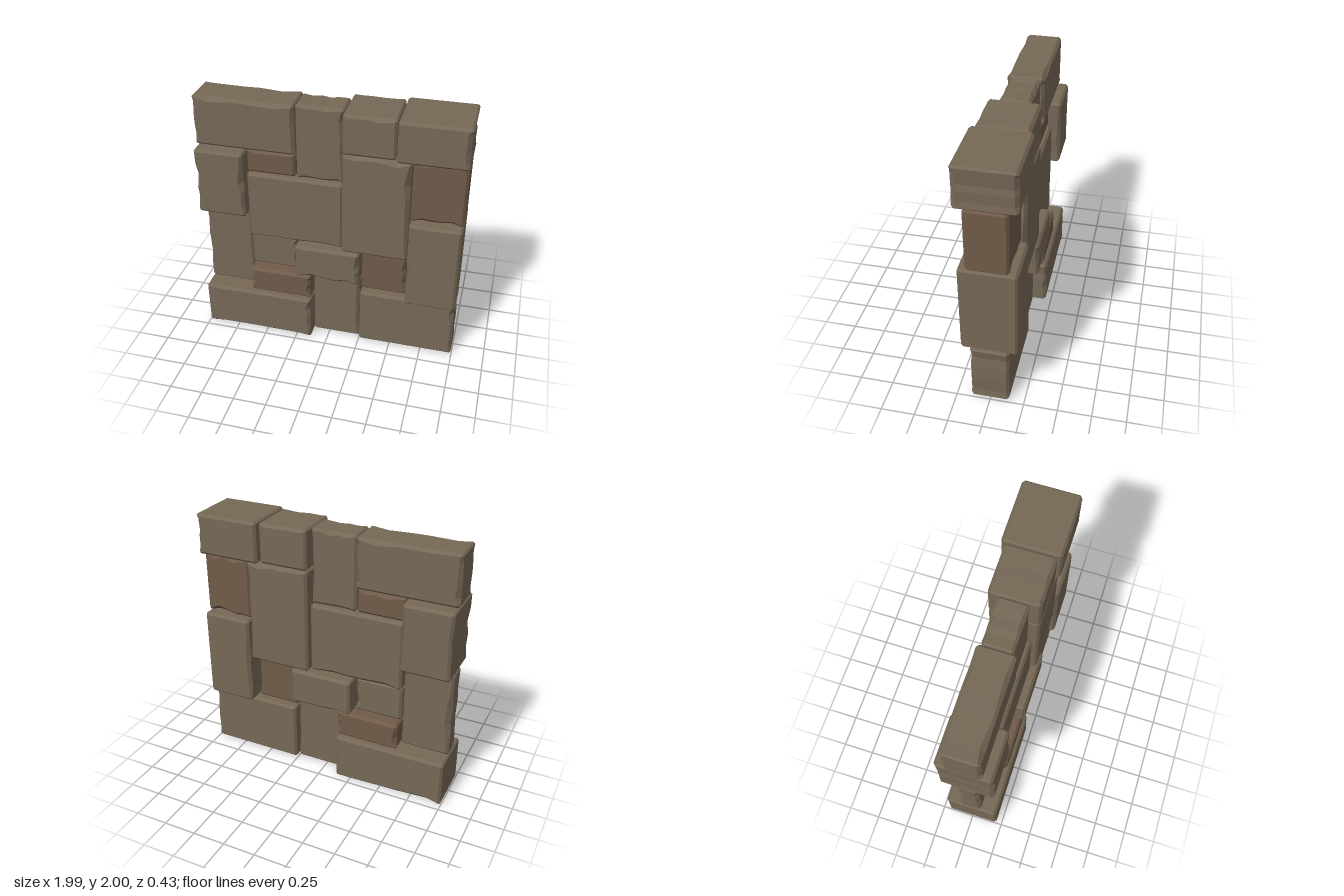
import * as THREE from 'three';

// x0, x1, y0, y1, half depth, chipped sides (Bottom Right Top Left), reddish
const STONES = [
  [-0.995, -0.245, 1.61, 1.995, 0.135, 'TRL'],
  [-0.24, 0.11, 1.42, 1.995, 0.11, 'TRB'],
  [0.115, 0.49, 1.69, 1.995, 0.185, 'T'],
  [0.5, 0.995, 1.69, 2, 0.215, 'R'],
  [-0.99, -0.62, 1.075, 1.6, 0.205, 'RL'],
  [-0.615, -0.25, 1.42, 1.605, 0.11, 'T', true],
  [-0.615, 0.11, 0.875, 1.42, 0.14, 'B'],
  [0.115, 0.605, 0.875, 1.685, 0.185, 'TR'],
  [0.61, 0.99, 1.205, 1.685, 0.15, 'TB', true],
  [0.61, 0.99, 0.49, 1.2, 0.205, 'L'],
  [-0.99, -0.62, 0.38, 1.07, 0.08, 'L'],
  [-0.615, -0.245, 0.595, 0.875, 0.1, 'R'],
  [-0.24, 0.25, 0.595, 0.875, 0.205, 'BR'],
  [-0.615, -0.13, 0.38, 0.59, 0.18, 'RL', true],
  [0.255, 0.605, 0.49, 0.87, 0.09, 'R', true],
  [-0.125, 0.25, 0.005, 0.59, 0.1, 'TR'],
  [0.255, 0.995, 0.01, 0.485, 0.14, 'R'],
  [-0.995, -0.13, 0, 0.37, 0.205, 'BR'],
];

const BEVEL = 0.018;

function seeded(seed) {
  let s = seed * 7919 + 17;
  return () => (s = (s * 16807) % 2147483647) / 2147483647;
}

// Block with bevelled edges; chipped sides get a deeper, wandering bevel
function stoneGeometry([x0, x1, y0, y1, d, chips], rand) {
  const corners = [[x0, y0], [x1, y0], [x1, y1], [x0, y1]];
  const outline = [];
  corners.forEach(([ax, ay], side) => {
    const [bx, by] = corners[(side + 1) % 4];
    const len = Math.hypot(bx - ax, by - ay);
    const dir = [(bx - ax) / len, (by - ay) / len];
    const inward = [-dir[1], dir[0]];
    const chipped = chips.includes('BRTL'[side]);
    const stops = chipped ? [0, 0.12 + 0.15 * rand(), 0.35 + 0.1 * rand(), 0.55 + 0.1 * rand(), 0.75 + 0.15 * rand(), 1] : [0, 1];
    stops.forEach((t) => {
      const end = t === 0 || t === 1;
      const s = BEVEL * 0.7 + t * (len - BEVEL * 1.4);
      const depth = () => (chipped && !end ? 0.03 * rand() * rand() : 0);
      const notch = depth() * 0.5;
      outline.push({
        x: ax + dir[0] * s + inward[0] * notch,
        y: ay + dir[1] * s + inward[1] * notch,
        inward, dir,
        along: t === 0 ? 0.4 : t === 1 ? -0.4 : 0,
        front: BEVEL + depth(), back: BEVEL + depth(),
      });
    });
  });

  // Cross-sections from front to back
  const inset = (key, z) => outline.map((p) => [
    p.x + p.inward[0] * p[key] + p.dir[0] * p.along * BEVEL,
    p.y + p.inward[1] * p[key] + p.dir[1] * p.along * BEVEL, z]);
  const outer = (key, sign) => outline.map((p) => [p.x, p.y, sign * (d - p[key])]);
  const rings = [inset('front', d), outer('front', 1), outer('back', -1), inset('back', -d)];

  const pos = [];
  const tri = (...pts) => pts.forEach((p) => pos.push(...p));
  const n = outline.length;
  const cx = (x0 + x1) / 2, cy = (y0 + y1) / 2;
  for (let i = 0; i < n; i++) {
    const j = (i + 1) % n;
    tri([cx, cy, d], rings[0][i], rings[0][j]);
    tri([cx, cy, -d], rings[3][j], rings[3][i]);
    for (let r = 0; r < 3; r++) {
      const a = rings[r], b = rings[r + 1];
      tri(a[i], b[i], b[j]);
      tri(a[i], b[j], a[j]);
    }
  }
  const geo = new THREE.BufferGeometry();
  geo.setAttribute('position', new THREE.Float32BufferAttribute(pos, 3));
  geo.computeVertexNormals();
  return geo;
}

export function createModel() {
  const group = new THREE.Group();
  group.name = 'stoneWall';
  const grey = new THREE.MeshStandardMaterial({ color: 0x766856, flatShading: true });
  const red = new THREE.MeshStandardMaterial({ color: 0x705b49, flatShading: true });
  STONES.forEach((stone, i) => {
    const mesh = new THREE.Mesh(stoneGeometry(stone, seeded(i + 1)), stone[6] ? red : grey);
    mesh.name = `stone${i + 1}`;
    group.add(mesh);
  });
  return group;
}
